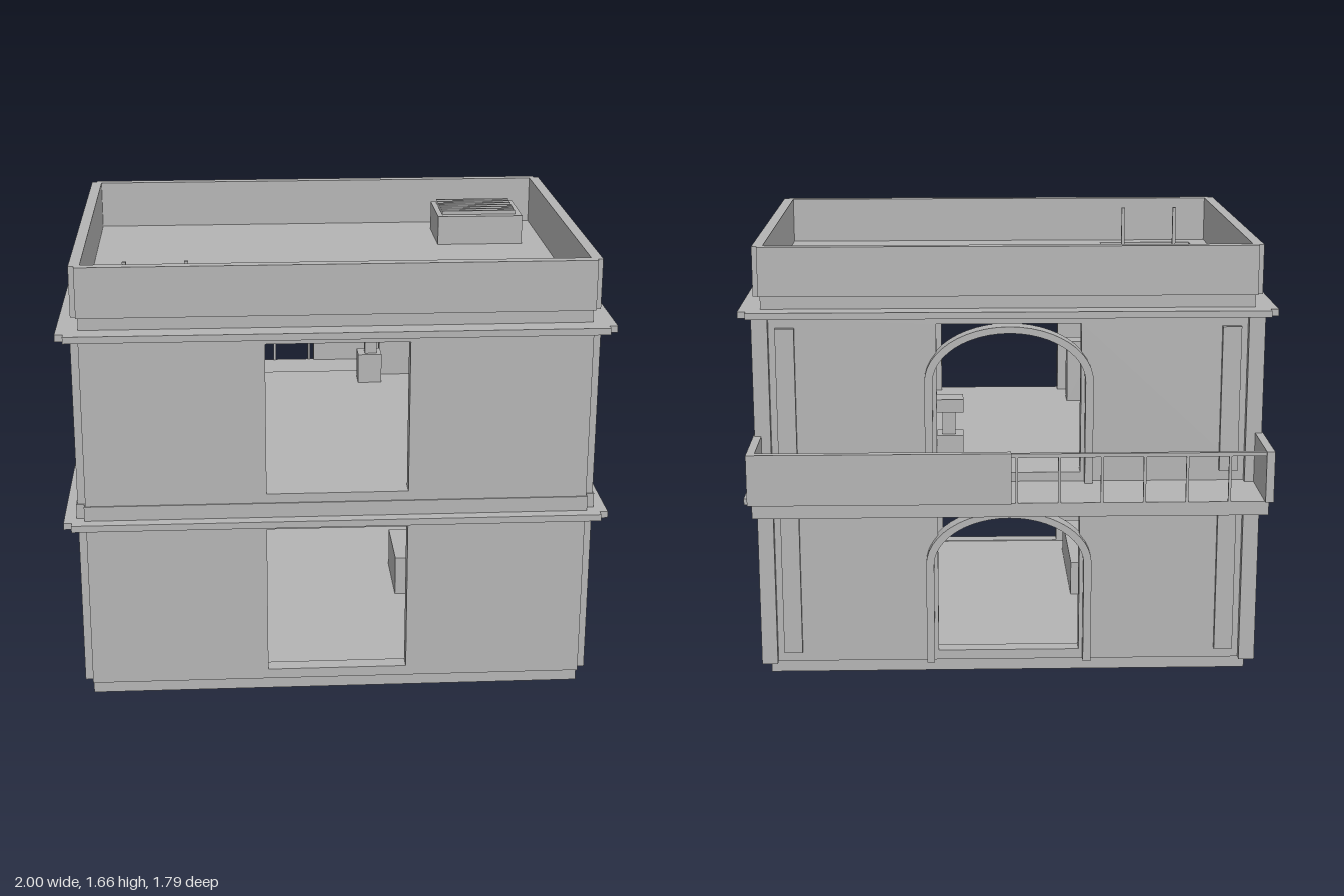
import * as THREE from 'three';

export function createModel() {
  const model = new THREE.Group();
  const plaster = new THREE.MeshStandardMaterial({ color: 0xb4b4b4 });

  function add(name, geometry) {
    const mesh = new THREE.Mesh(geometry, plaster);
    mesh.name = name;
    model.add(mesh);
    return mesh;
  }

  // Box given by its limits on each axis
  function box(name, x0, x1, y0, y1, z0, z1) {
    const g = new THREE.BoxGeometry(x1 - x0, y1 - y0, z1 - z0);
    g.translate((x0 + x1) / 2, (y0 + y1) / 2, (z0 + z1) / 2);
    return add(name, g);
  }

  function rect(Type, x0, x1, y0, y1) {
    return new Type([[x0, y0], [x1, y0], [x1, y1], [x0, y1]].map(p => new THREE.Vector2(...p)));
  }

  // Floor plan with notched corners (plan y is -z)
  function plan(hx, zFront, zBack, n = 0.03) {
    const a = -zFront, b = -zBack, i = hx - n;
    return new THREE.Shape([
      [-i, a], [i, a], [i, a + n], [hx, a + n], [hx, b - n], [i, b - n],
      [i, b], [-i, b], [-i, b - n], [-hx, b - n], [-hx, a + n], [-i, a + n],
    ].map(p => new THREE.Vector2(...p)));
  }

  function slab(name, shape, y0, y1, hole) {
    if (hole) shape.holes.push(hole);
    const g = new THREE.ExtrudeGeometry(shape, { depth: y1 - y0, bevelEnabled: false });
    g.rotateX(-Math.PI / 2);
    g.translate(0, y0, 0);
    return add(name, g);
  }

  const hatch = () => rect(THREE.Path, -0.83, -0.44, -0.73, -0.31);

  // Plinth and ground floor
  box('plinth', -0.92, 0.92, 0, 0.06, -0.56, 0.82);
  box('groundFloor', -0.9, 0.9, 0.055, 0.09, -0.55, 0.81);

  // Walls of one storey, with openings, arch and pilasters
  function storey(y0, y1, floor) {
    const top = floor + 0.572;
    const doorWall = (name, z, hw) => {
      const s = rect(THREE.Shape, -0.92, 0.92, y0, y1);
      s.holes.push(rect(THREE.Path, -hw, hw, floor, top));
      const g = new THREE.ExtrudeGeometry(s, { depth: 0.06, bevelEnabled: false });
      add(name, g.translate(0, 0, z));
    };
    doorWall('frontWall', 0.79, 0.26);
    doorWall('backWall', -0.59, 0.27);

    const sill = floor + 0.247, head = floor + 0.535;
    for (const side of [-1, 1]) {
      const s = rect(THREE.Shape, -0.82, 0.56, y0, y1);
      s.holes.push(rect(THREE.Path, -0.735, -0.46, sill, head));
      s.holes.push(rect(THREE.Path, 0.19, 0.465, sill, head));
      const g = new THREE.ExtrudeGeometry(s, { depth: 0.06, bevelEnabled: false });
      g.rotateY(Math.PI / 2);
      g.translate(side > 0 ? 0.89 : -0.95, 0, 0);
      add('sideWall', g);

      // Back corner pilaster and slim raised panel
      const px = side * 0.92;
      box('pilaster', px - 0.03, px + 0.03, y0, y1, -0.62, -0.56);
      const sx = side * 0.83;
      box('wallPanel', sx - 0.035, sx + 0.035, y0 + 0.04, y1 - 0.04, -0.61, -0.58);
    }

    // Arched surround standing in the back opening
    const spring = top - 0.215;
    const arch = new THREE.Shape();
    arch.moveTo(0.315, y0);
    arch.lineTo(0.315, spring);
    arch.absellipse(0, spring, 0.315, 0.21, 0, Math.PI, false);
    arch.lineTo(-0.315, y0);
    arch.lineTo(-0.285, y0);
    arch.lineTo(-0.285, spring);
    arch.absellipse(0, spring, 0.285, 0.185, Math.PI, 0, true);
    arch.lineTo(0.285, y0);
    const g = new THREE.ExtrudeGeometry(arch, { depth: 0.075, bevelEnabled: false, curveSegments: 12 });
    add('archSurround', g.translate(0, 0, -0.625));
  }
  storey(0.055, 0.69, 0.093);
  storey(0.77, 1.405, 0.805);

  // Cornices, middle band and upper floor
  slab('lowerCornice', plan(1, 0.9, -0.64), 0.69, 0.715, hatch());
  slab('middleBand', plan(0.955, 0.855, -0.6), 0.715, 0.77, hatch());
  slab('upperFloor', rect(THREE.Shape, -0.9, 0.9, -0.8, 0.54), 0.77, 0.805, hatch());
  slab('upperCornice', plan(1, 0.9, -0.64), 1.405, 1.43, hatch());

  // Roof deck and parapet
  slab('roofDeck', rect(THREE.Shape, -0.92, 0.92, -0.82, 0.56), 1.43, 1.48, hatch());
  slab('parapet', plan(0.945, 0.845, -0.585, 0.02), 1.48, 1.665,
    rect(THREE.Path, -0.905, 0.905, -0.805, 0.545));

  // Roof vent with slats
  box('roofVent', 0.47, 0.815, 1.48, 1.595, -0.425, -0.15);
  for (let i = 0; i < 7; i++) {
    const z = -0.4 + i * 0.035;
    box('ventSlat', 0.49, 0.79, 1.595, 1.61, z - 0.006, z + 0.006);
  }

  // Balcony: one half solid, one half railed
  box('balconySlab', -0.94, 0.94, 0.718, 0.77, -0.88, -0.53);
  box('balconyWall', 0, 0.95, 0.77, 0.96, -0.895, -0.865);
  for (const s of [-1, 1]) {
    box('balconyEnd', s * 0.94 - 0.015, s * 0.94 + 0.015, 0.77, 0.96, -0.895, -0.57);
  }
  box('handrail', -0.93, 0, 0.943, 0.957, -0.887, -0.87);
  for (let i = 0; i < 6; i++) {
    const x = -0.02 - i * 0.155;
    box('railPost', x - 0.005, x + 0.005, 0.77, 0.945, -0.883, -0.873);
  }

  // Ladder through the hatches
  for (const x of [-0.757, -0.535]) {
    box('ladderRail', x - 0.007, x + 0.007, 0.09, 1.64, 0.667, 0.682);
  }
  for (let y = 0.2; y < 1.5; y += 0.12) {
    box('ladderRung', -0.757, -0.535, y, y + 0.01, 0.67, 0.68);
  }

  // Ground floor furniture
  box('counter', -0.56, -0.28, 0.09, 0.23, 0.05, 0.65);
  box('counterTray', -0.52, -0.44, 0.23, 0.25, 0.55, 0.62);
  box('chest', 0.28, 0.6, 0.09, 0.25, -0.1, 0.2);

  // Upper floor furniture
  box('cabinet', 0.45, 0.8, 0.805, 1.2, -0.37, -0.15);
  box('standBase', 0.17, 0.27, 0.805, 0.93, -0.51, -0.42);
  box('standPost', 0.2, 0.25, 0.93, 1.02, -0.49, -0.44);
  box('standTop', 0.17, 0.27, 1.02, 1.07, -0.51, -0.42);
  box('sideTable', -0.42, -0.29, 0.805, 1.07, 0.57, 0.67);

  return model;
}
